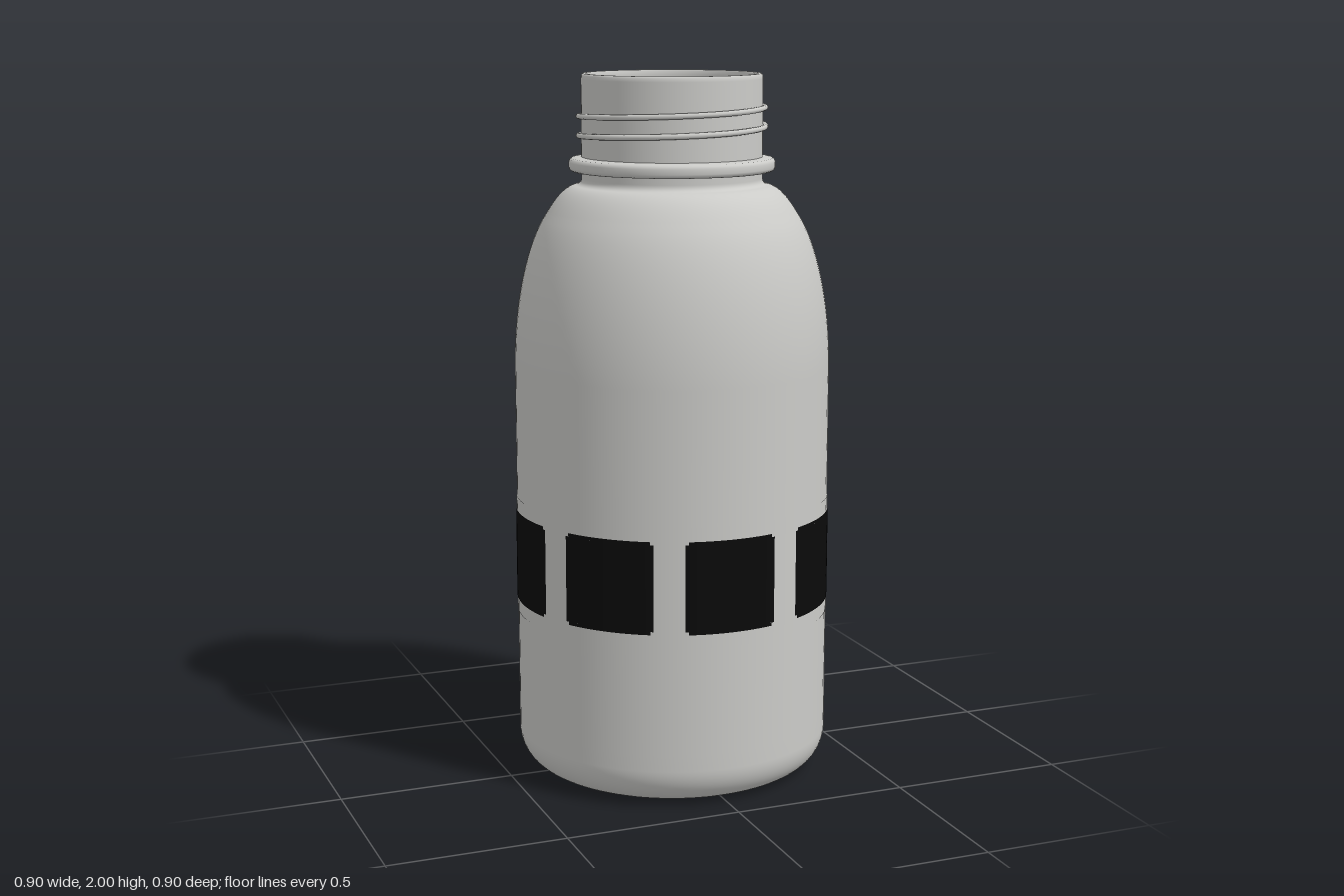
import * as THREE from 'three';

const SEGMENTS = 96;
const PANELS = 8;
const v = (x, y) => new THREE.Vector2(x, y);

// Helical thread bead that sinks into the neck at both ends
class ThreadCurve extends THREE.Curve {
  getPoint(t, target = new THREE.Vector3()) {
    const angle = THREE.MathUtils.degToRad(98 + 704 * t);
    const fade = THREE.MathUtils.smoothstep(Math.min(t, 1 - t), 0, 0.03);
    const r = 0.247 + 0.015 * fade;
    return target.set(r * Math.sin(angle), 1.805 + 0.105 * t, r * Math.cos(angle));
  }
}

// Bottle wall: outside from base to rim, then back down the inside
function bottleProfile() {
  const p = new THREE.Path();
  p.moveTo(0, 0);
  p.lineTo(0.3, 0);
  p.lineTo(0.34, 0);
  p.bezierCurveTo(0.405, 0, 0.449, 0.045, 0.449, 0.11);
  p.lineTo(0.449, 0.16);
  p.lineTo(0.449, 1.18);
  p.bezierCurveTo(0.449, 1.36, 0.41, 1.53, 0.355, 1.61);
  p.bezierCurveTo(0.325, 1.66, 0.30, 1.685, 0.272, 1.69);
  p.quadraticCurveTo(0.255, 1.694, 0.255, 1.71);
  p.lineTo(0.255, 1.72);
  p.lineTo(0.255, 1.985);
  p.lineTo(0.254, 1.995);
  p.lineTo(0.25, 2);
  p.lineTo(0.242, 2);
  p.lineTo(0.239, 1.997);
  p.lineTo(0.238, 1.985);
  p.lineTo(0.238, 1.7);
  p.bezierCurveTo(0.24, 1.68, 0.30, 1.67, 0.34, 1.6);
  p.bezierCurveTo(0.39, 1.53, 0.434, 1.36, 0.434, 1.18);
  p.lineTo(0.434, 0.12);
  p.bezierCurveTo(0.434, 0.05, 0.4, 0.018, 0.34, 0.018);
  p.lineTo(0.3, 0.018);
  p.lineTo(0, 0.018);
  return p.getPoints(16);
}

// Support collar below the thread
function collarProfile() {
  return [
    v(0.25, 1.728), v(0.282, 1.73), v(0.288, 1.734), v(0.291, 1.741), v(0.291, 1.755),
    v(0.288, 1.762), v(0.282, 1.766), v(0.27, 1.768), v(0.25, 1.77),
  ];
}

export function createModel() {
  const model = new THREE.Group();
  model.name = 'bottle';
  const shell = new THREE.MeshStandardMaterial({ color: 0xcbcbc8 });
  shell.name = 'pale grey';
  const dark = new THREE.MeshStandardMaterial({ color: 0x0a0a0a });
  dark.name = 'black';

  const add = (name, geometry, material, parent = model) => {
    const mesh = new THREE.Mesh(geometry, material);
    mesh.name = name;
    parent.add(mesh);
    return mesh;
  };

  add('body', new THREE.LatheGeometry(bottleProfile(), SEGMENTS), shell);
  add('neckCollar', new THREE.LatheGeometry(collarProfile(), SEGMENTS), shell);
  add('screwThread', new THREE.TubeGeometry(new ThreadCurve(), 240, 0.008, 10, false), shell);

  // Thin sleeve around the lower body
  const band = add('labelBand', new THREE.CylinderGeometry(0.4502, 0.4502, 0.34, SEGMENTS, 1, true), shell);
  band.position.y = 0.635;

  // Evenly spaced curved square panels; narrower end strips soften the corners
  const panels = new THREE.Group();
  panels.name = 'labelPanels';
  model.add(panels);
  const half = THREE.MathUtils.degToRad(17);
  const corner = THREE.MathUtils.degToRad(1.2);
  const patch = (height, halfAngle) =>
    new THREE.CylinderGeometry(0.4515, 0.4515, height, 16, 1, true, -halfAngle, 2 * halfAngle);
  for (let i = 0; i < PANELS; i++) {
    const panel = new THREE.Group();
    panel.name = 'labelPanel' + (i + 1);
    panel.rotation.y = (i / PANELS) * Math.PI * 2;
    panel.position.y = 0.635;
    add('panelCentre', patch(0.244, half), dark, panel);
    for (const side of [-1, 1]) {
      add('panelEdge', patch(0.009, half - corner), dark, panel).position.y = side * 0.1265;
    }
    panels.add(panel);
  }
  return model;
}
